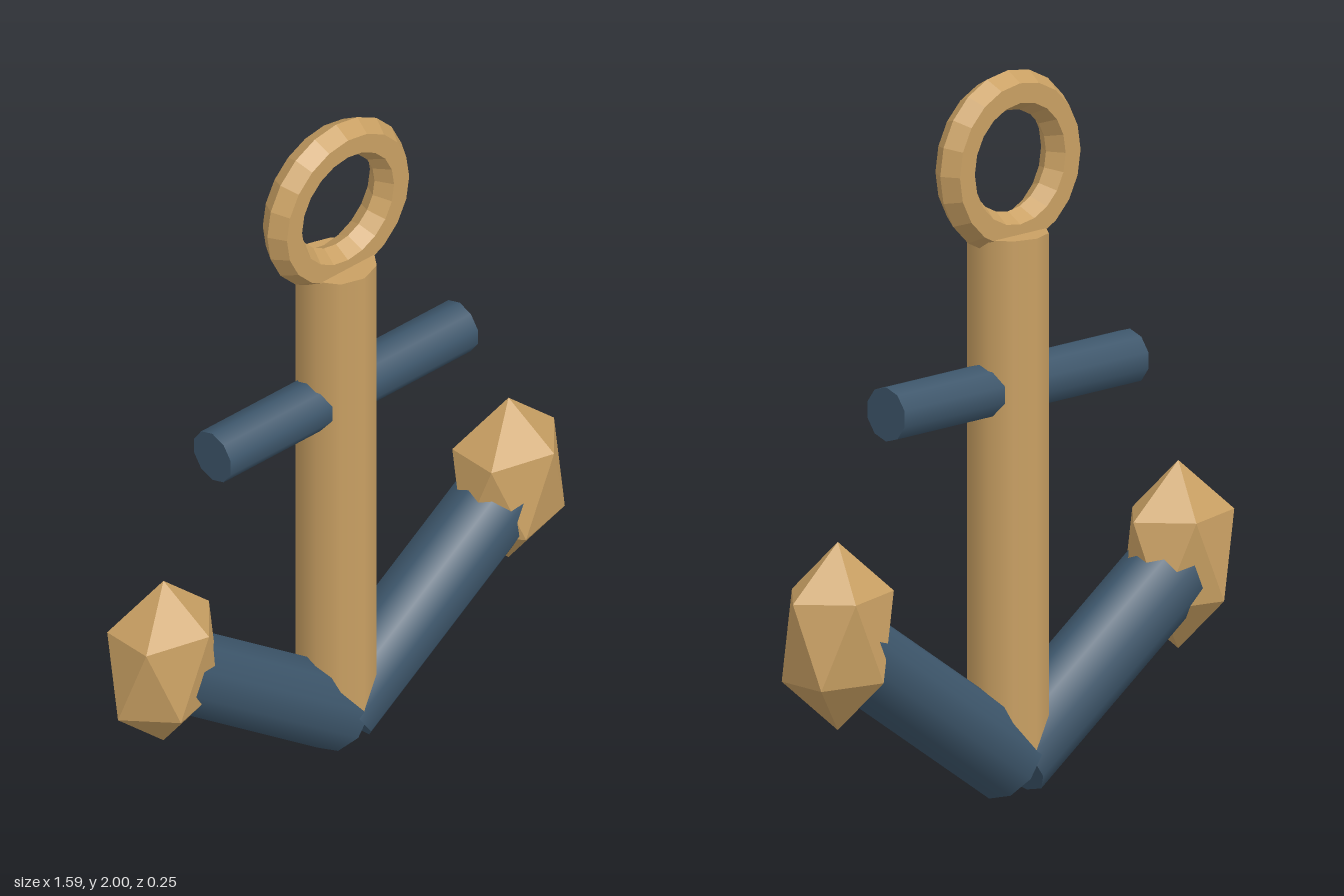
import * as THREE from 'three';

const SIDES = 10;

export function createModel() {
  const model = new THREE.Group();
  model.name = 'anchor';

  const brass = new THREE.MeshStandardMaterial({ color: 0xc9a063 });
  const facetedBrass = new THREE.MeshStandardMaterial({ color: 0xc9a063, flatShading: true });
  const blue = new THREE.MeshStandardMaterial({ color: 0x3d566b });

  const add = (name, geometry, material, x, y) => {
    const mesh = new THREE.Mesh(geometry, material);
    mesh.name = name;
    mesh.position.set(x, y, 0);
    model.add(mesh);
    return mesh;
  };
  const rod = (radius, length, thetaStart = 0) =>
    new THREE.CylinderGeometry(radius, radius, length, SIDES, 1, false, thetaStart);

  // Upright shank, its foot buried where the arms meet
  const shankTop = 1.555, shankBottom = 0.12;
  add('shank', rod(0.111, shankTop - shankBottom), brass, 0, (shankTop + shankBottom) / 2);

  // Ring with a six-sided section
  add('ring', new THREE.TorusGeometry(0.195, 0.055, 6, 20), facetedBrass, 0, 1.75);

  // Crossbar through the shank
  add('crossbar', rod(0.075, 0.9, Math.PI / 2).rotateZ(Math.PI / 2), blue, 0, 1.13);

  // Fluke: stretched icosahedron standing on a corner
  const fluke = new THREE.IcosahedronGeometry(1, 0)
    .rotateX(-Math.atan((1 + Math.sqrt(5)) / 2))
    .rotateY(Math.PI / 2)
    .scale(0.185, 0.26, 0.146);

  // Sloping arms, crossing at the foot, each ending inside a fluke
  const slope = THREE.MathUtils.degToRad(35), armLength = 0.75;
  const arm = rod(0.118, armLength, Math.PI / 2).translate(0, armLength / 2, 0);
  for (const [side, name] of [[1, 'left'], [-1, 'right']]) {
    add(name + 'Arm', arm, blue, side * 0.002, 0.097).rotation.z = -side * (Math.PI / 2 - slope);
    add(name + 'Fluke', fluke, facetedBrass, side * 0.628, 0.55);
  }

  return model;
}
